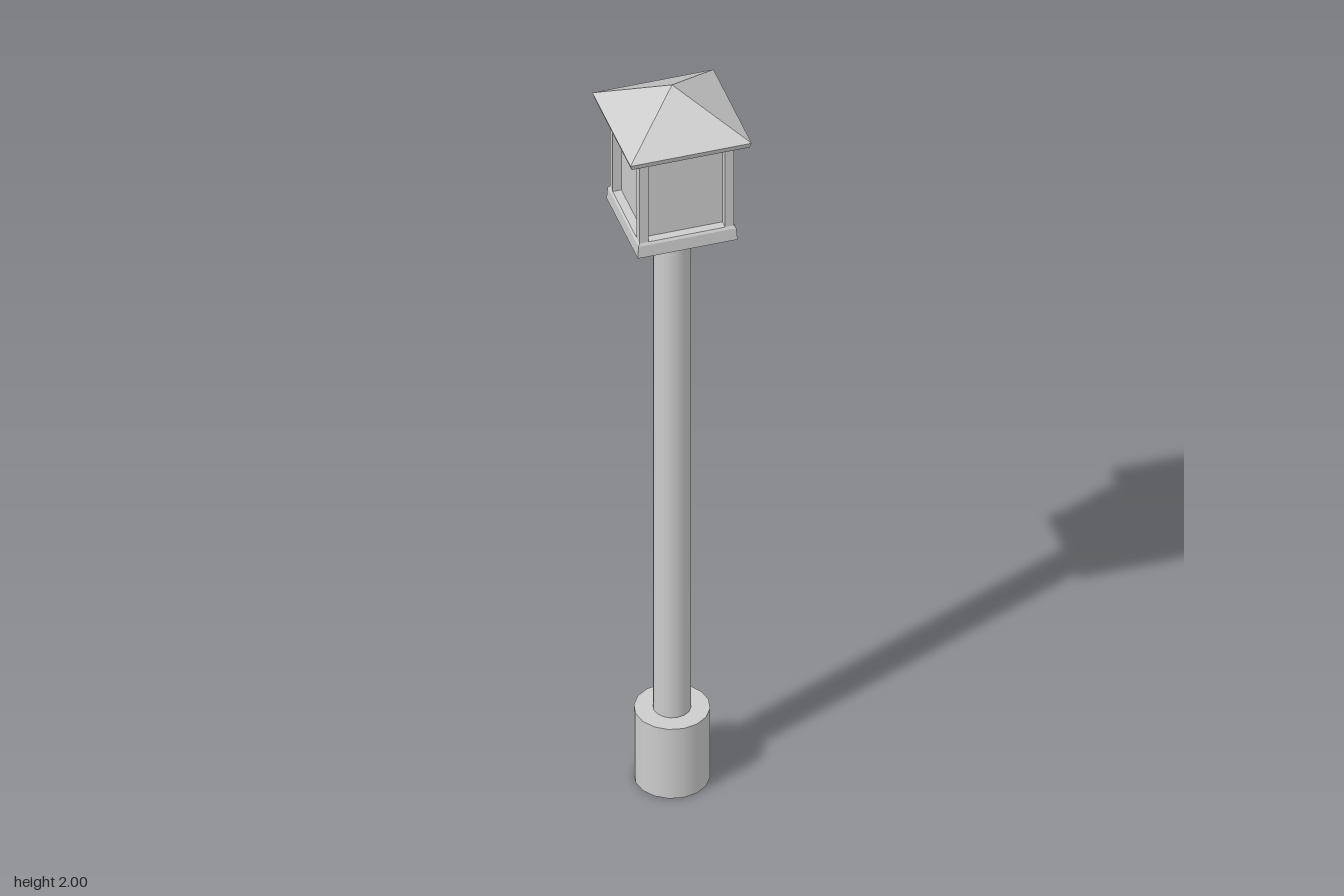
import * as THREE from 'three';

const gray = new THREE.MeshStandardMaterial({ color: 0xcccccc, side: THREE.DoubleSide });
gray.name = 'plain gray';

// Square block whose half width changes from bottom to top
function squareFrustum(halfBottom, halfTop, y0, y1, open = false) {
  const g = new THREE.CylinderGeometry(halfTop * Math.SQRT2, halfBottom * Math.SQRT2, y1 - y0, 4, 1, open)
    .rotateY(Math.PI / 4)
    .translate(0, (y0 + y1) / 2, 0)
    .toNonIndexed();
  g.computeVertexNormals();
  return g;
}

function tube(radius, y0, y1) {
  return new THREE.CylinderGeometry(radius, radius, y1 - y0, 16, 1, true).translate(0, (y0 + y1) / 2, 0);
}

export function createModel() {
  const model = new THREE.Group();
  model.name = 'lampPost';
  const add = (name, geometry, parent = model) => {
    const mesh = new THREE.Mesh(geometry, gray);
    mesh.name = name;
    parent.add(mesh);
    return mesh;
  };

  // Base sleeve, open underneath, with a flat ring on top
  add('baseSleeve', tube(0.088, 0, 0.2));
  add('baseTop', new THREE.RingGeometry(0.043, 0.088, 16, 1, Math.PI / 2).rotateX(-Math.PI / 2).translate(0, 0.2, 0));

  // Pole
  add('pole', tube(0.044, 0.2, 1.612));

  // Lantern tray with a small bevelled rim
  add('tray', squareFrustum(0.12, 0.118, 1.612, 1.644));
  add('trayRim', squareFrustum(0.118, 0.114, 1.644, 1.65));

  // Lantern body, recessed behind the corner posts
  add('lanternPanels', squareFrustum(0.093, 0.093, 1.65, 1.892, true));
  const posts = new THREE.Group();
  posts.name = 'cornerPosts';
  model.add(posts);
  for (const x of [-1, 1]) {
    for (const z of [-1, 1]) {
      add('cornerPost', new THREE.BoxGeometry(0.022, 0.244, 0.022), posts).position.set(x * 0.103, 1.77, z * 0.103);
    }
  }

  // Roof with a thin eave
  add('eave', squareFrustum(0.142, 0.146, 1.89, 1.904));
  add('roof', squareFrustum(0.146, 0, 1.904, 2, true));

  return model;
}
